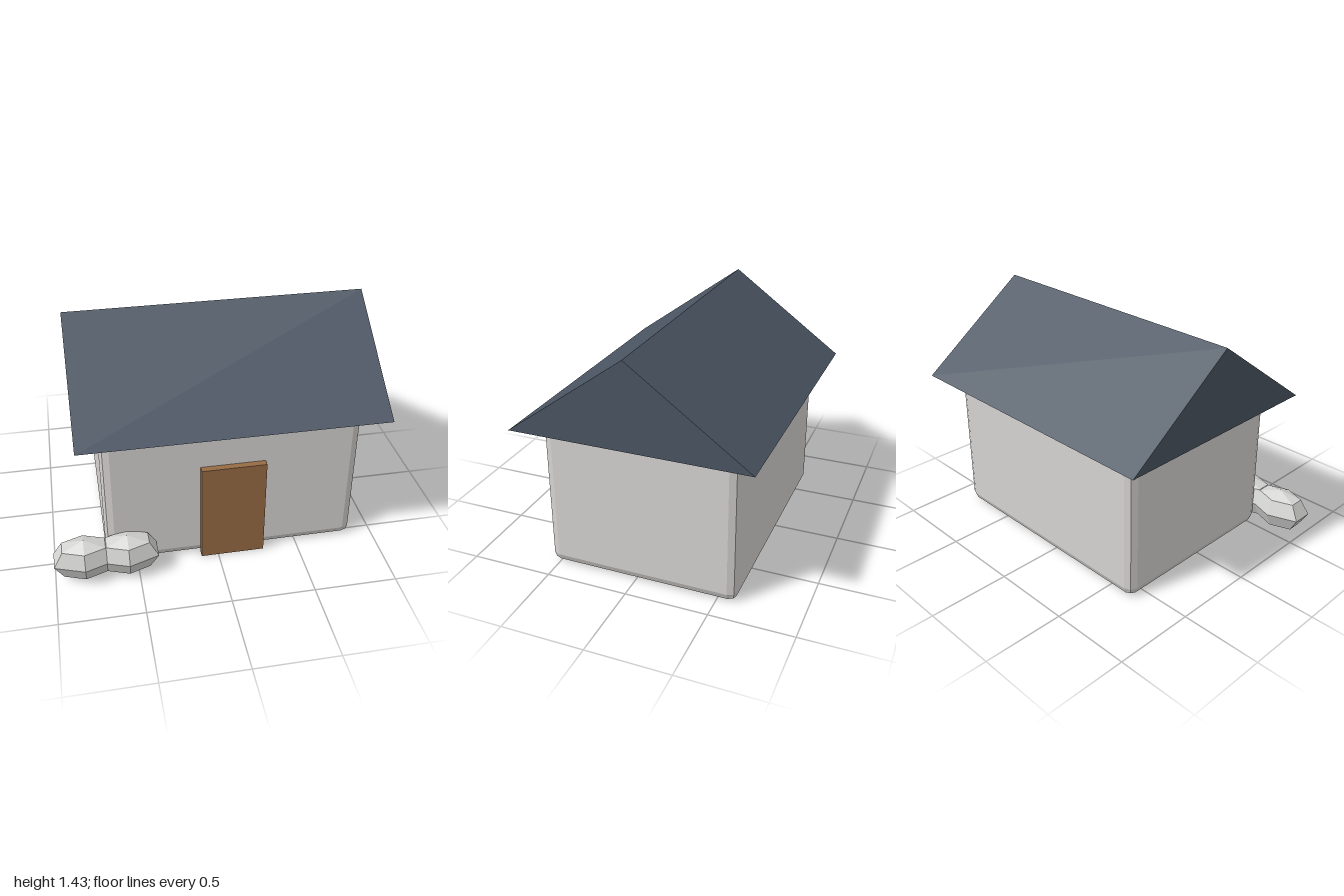
import * as THREE from 'three';
import { RoundedBoxGeometry } from 'three/addons/geometries/RoundedBoxGeometry.js';

const material = (name, color) => {
  const m = new THREE.MeshStandardMaterial({ color, flatShading: true });
  m.name = name;
  return m;
};

export function createModel() {
  const house = new THREE.Group();
  house.name = 'house';

  const plaster = material('plaster', 0xd6d3d1);
  const stone = material('stone', 0xd4d4d3);
  const wood = material('wood', 0x966b45);
  const slate = material('slate', 0x4a5562);

  const add = (name, geometry, mat, x, y, z) => {
    const mesh = new THREE.Mesh(geometry, mat);
    mesh.name = name;
    mesh.position.set(x, y, z);
    house.add(mesh);
    return mesh;
  };

  // Walls: one block with softly bevelled edges
  add('walls', new RoundedBoxGeometry(1.55, 0.915, 1.17, 1, 0.055), plaster, 0.09, 0.4575, -0.032);

  // Roof: solid gable prism, extruded along x
  const gable = new THREE.Shape();
  gable.moveTo(-0.71, 0);
  gable.lineTo(0.71, 0);
  gable.lineTo(0, 0.515);
  gable.closePath();
  const roof = new THREE.ExtrudeGeometry(gable, { depth: 1.82, bevelEnabled: false });
  roof.translate(0, 0, -0.91);
  roof.rotateY(Math.PI / 2);
  add('roof', roof, slate, 0.09, 0.915, -0.032);

  // Door: slab standing proud of the front wall
  add('door', new THREE.BoxGeometry(0.39, 0.65, 0.05), wood, 0.09, 0.325, 0.57);

  // Boulders: two stretched six-sided spheres beside the front corner
  const boulder = new THREE.SphereGeometry(0.13, 6, 4, Math.PI / 6);
  for (const [name, x] of [['outerBoulder', -0.82], ['innerBoulder', -0.56]]) {
    add(name, boulder, stone, x, 0.13, 0.617).scale.x = 1.6;
  }

  return house;
}
